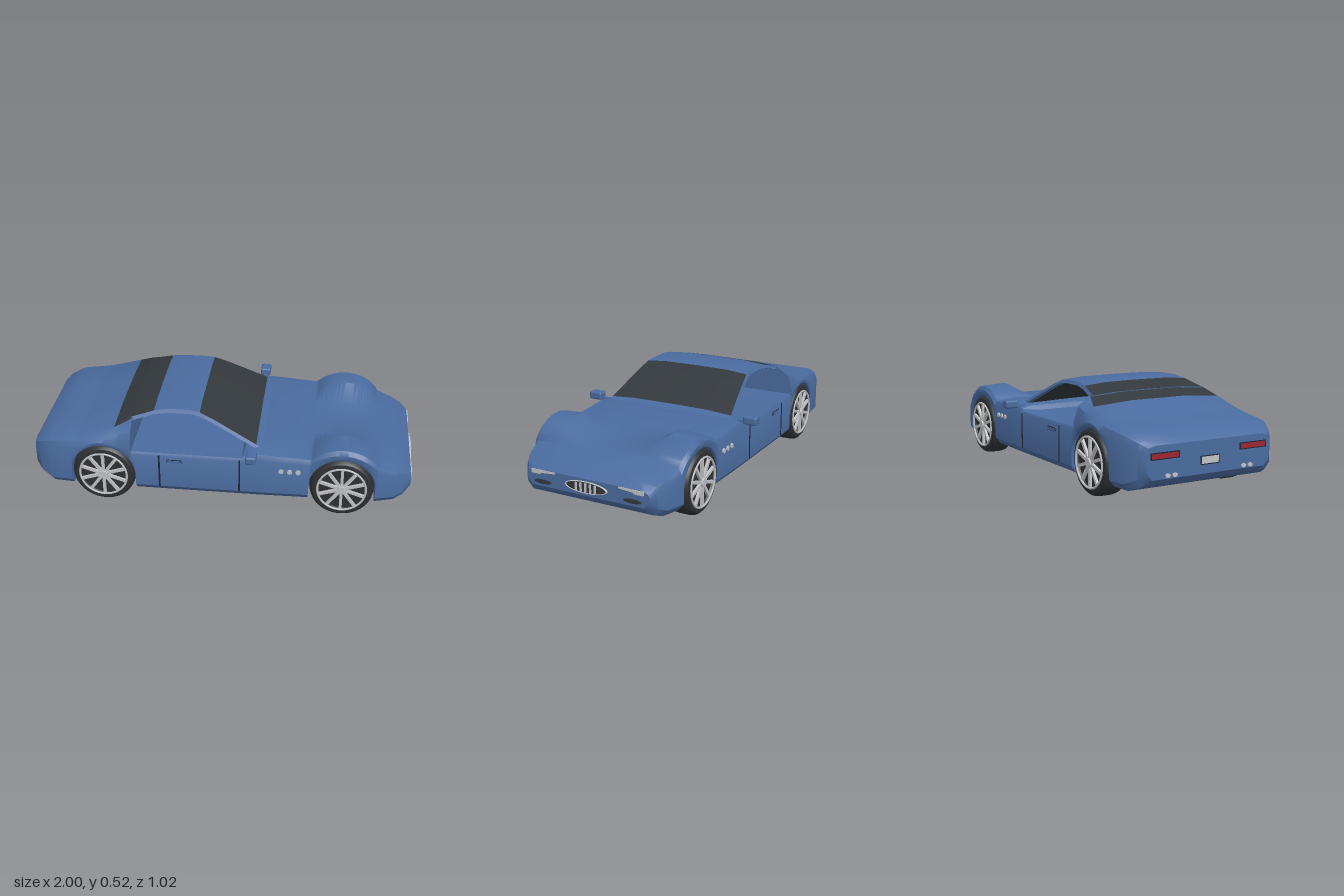
import * as THREE from 'three';
import { toCreasedNormals } from 'three/addons/utils/BufferGeometryUtils.js';
import { RoundedBoxGeometry } from 'three/addons/geometries/RoundedBoxGeometry.js';

const mat = (name, color) => {
  const m = new THREE.MeshStandardMaterial({ color });
  m.name = name;
  return m;
};
const paint = mat('bluePaint', 0x4a6b9f);
const glass = mat('darkGlass', 0x33383c);
const rubber = mat('rubber', 0x2d3033);
const silver = mat('silver', 0xbfc1c4);
const red = mat('tailRed', 0x9c2430);
const seam = mat('seam', 0x1c2530);

const AXLES = [-0.62, 0.63], AXLE_Y = 0.167, ARCH_R = 0.172;

// Linear interpolation between rows keyed by their first number
function sample(rows, x) {
  let i = 0;
  while (i < rows.length - 2 && x > rows[i + 1][0]) i++;
  const a = rows[i], b = rows[i + 1];
  const k = THREE.MathUtils.clamp((x - a[0]) / (b[0] - a[0]), 0, 1);
  return a.map((v, n) => v + (b[n] - v) * k);
}

// Skins mirrored half sections (bottom centre to top centre, [z, y]) along x, with end caps
function loft(xs, halfSection, isGlass, crease = 0.6) {
  const rings = xs.map((x) => {
    const half = halfSection(x);
    const mirrored = half.slice(1, -1).reverse().map(([z, y]) => [-z, y]);
    return [...half, ...mirrored].map(([z, y]) => [x, y, z]);
  });
  const L = rings[0].length, out = [[], []];
  for (let i = 0; i < xs.length - 1; i++) {
    for (let j = 0; j < L; j++) {
      const k = (j + 1) % L;
      const a = rings[i][j], b = rings[i + 1][j], c = rings[i + 1][k], d = rings[i][k];
      const part = isGlass((xs[i] + xs[i + 1]) / 2, Math.min(j, L - 1 - j)) ? 1 : 0;
      out[part].push(...a, ...b, ...c, ...a, ...c, ...d);
    }
  }
  [rings[0], rings[xs.length - 1]].forEach((ring, end) => {
    const centre = [ring[0][0], (ring[0][1] + ring[L / 2][1]) / 2, 0];
    for (let j = 0; j < L; j++) {
      const p = ring[j], q = ring[(j + 1) % L];
      out[0].push(...centre, ...(end ? q : p), ...(end ? p : q));
    }
  });
  const geo = new THREE.BufferGeometry();
  geo.setAttribute('position', new THREE.Float32BufferAttribute([...out[0], ...out[1]], 3));
  geo.addGroup(0, out[0].length / 3, 0);
  geo.addGroup(out[0].length / 3, out[1].length / 3, 1);
  return toCreasedNormals(geo, crease);
}

// x, half width, bottom, shoulder y, haunch z, haunch y, deck edge z, deck edge y, centre y
const BODY = [
  [-1, 0.355, 0.14, 0.24, 0.345, 0.29, 0.31, 0.3, 0.3],
  [-0.97, 0.385, 0.11, 0.27, 0.375, 0.31, 0.34, 0.325, 0.325],
  [-0.9, 0.42, 0.08, 0.3, 0.405, 0.335, 0.37, 0.355, 0.355],
  [-0.75, 0.432, 0.08, 0.32, 0.415, 0.355, 0.37, 0.375, 0.38],
  [-0.56, 0.435, 0.08, 0.34, 0.415, 0.395, 0.375, 0.425, 0.44],
  [-0.47, 0.435, 0.08, 0.345, 0.41, 0.42, 0.34, 0.465, 0.478],
  [-0.469, 0.435, 0.08, 0.3, 0.425, 0.315, 0.33, 0.315, 0.315],
  [0.11, 0.435, 0.08, 0.3, 0.425, 0.315, 0.33, 0.315, 0.315],
  [0.125, 0.435, 0.08, 0.3, 0.42, 0.325, 0.37, 0.34, 0.34],
  [0.2, 0.435, 0.08, 0.31, 0.42, 0.34, 0.37, 0.355, 0.36],
  [0.45, 0.43, 0.08, 0.3, 0.415, 0.325, 0.28, 0.335, 0.335],
  [0.75, 0.43, 0.08, 0.28, 0.415, 0.31, 0.28, 0.32, 0.32],
  [0.8, 0.425, 0.08, 0.27, 0.405, 0.3, 0.28, 0.313, 0.315],
  [0.9, 0.395, 0.08, 0.24, 0.385, 0.265, 0.28, 0.28, 0.285],
  [0.95, 0.37, 0.1, 0.22, 0.36, 0.245, 0.28, 0.255, 0.255],
  [0.985, 0.345, 0.14, 0.2, 0.335, 0.215, 0.3, 0.225, 0.225],
];

function bodySection(x) {
  let [, w, b, s, mz, my, qz, qy, t] = sample(BODY, x);
  // Front fender domes
  const d = 0.053 - (x - AXLES[1]) ** 2;
  const dome = d > 0 ? 0.17 + Math.sqrt(d) : 0;
  if (dome > qy) {
    qy = dome;
    my = Math.max(my, dome - 0.008);
    s = Math.max(s, dome - 0.03);
  }
  // Wheel arches
  let a = b, tuck = 0.03;
  for (const cx of AXLES) {
    const h = ARCH_R ** 2 - (x - cx) ** 2;
    if (h >= 0) { a = AXLE_Y + Math.sqrt(h); tuck = 0.004; }
  }
  s = Math.max(s, a + 0.02);
  return [[0, b], [0.29, b], [0.29, a], [w - tuck, a], [w, a + (a > b ? 0.01 : 0.035)],
    [w, s], [mz, my], [qz, qy], [0.16, t], [0, t]];
}

// Roof shell: x, half width, top
const ROOF = [
  [-0.48, 0.34, 0.478], [-0.36, 0.318, 0.512], [-0.29, 0.312, 0.523], [-0.17, 0.312, 0.523],
  [-0.12, 0.318, 0.516], [-0.05, 0.33, 0.488], [0.18, 0.372, 0.376], [0.23, 0.375, 0.352],
];
function roofSection(x) {
  const [, w, t] = sample(ROOF, x);
  return [[0, t - 0.02], [w - 0.025, t - 0.033], [w, t - 0.03], [w - 0.01, t - 0.012],
    [w * 0.6, t - 0.002], [0, t]];
}

export function createModel() {
  const car = new THREE.Group();
  car.name = 'car';
  const add = (name, geo, material, pos = [0, 0, 0], parent = car) => {
    const m = new THREE.Mesh(geo, material);
    m.name = name;
    m.position.set(...pos);
    parent.add(m);
    return m;
  };
  const box = (name, size, material, pos, parent) =>
    add(name, new THREE.BoxGeometry(...size), material, pos, parent);

  // Body shell, with extra sections around the wheels
  const xs = BODY.map((r) => r[0]);
  for (const cx of AXLES) {
    xs.push(cx - ARCH_R - 0.0005, cx + ARCH_R + 0.0005);
    for (let i = 0; i <= 24; i++) xs.push(cx - ARCH_R * 0.99999 * Math.cos((i / 24) * Math.PI));
  }
  for (const dx of [-0.2, -0.185, 0.185]) xs.push(AXLES[1] + dx);
  xs.sort((a, b) => a - b);
  add('body', loft(xs, bodySection, (x, j) => x > -0.56 && x < -0.47 && j >= 7), [paint, glass]);
  add('roof', loft(ROOF.map((r) => r[0]), roofSection,
    (x, j) => (x < -0.36 || (x > -0.12 && x < 0.18)) && j !== 1 && j !== 2), [paint, glass]);

  // Wheels
  const tyreGeo = new THREE.LatheGeometry([[0, -0.065], [0.13, -0.065], [0.15, -0.062], [0.162, -0.05],
    [0.167, -0.03], [0.167, 0.03], [0.162, 0.05], [0.15, 0.062], [0.13, 0.065], [0.122, 0.05], [0, 0.05],
  ].map(([r, y]) => new THREE.Vector2(r, y)), 40).rotateX(Math.PI / 2);
  const tyreShape = toCreasedNormals(tyreGeo, 0.6);
  const rimGeo = new THREE.TorusGeometry(0.125, 0.006, 6, 40);
  const hubGeo = new THREE.CylinderGeometry(0.022, 0.026, 0.022, 20).rotateX(Math.PI / 2);
  for (const cx of AXLES) {
    for (const side of [1, -1]) {
      const wheel = new THREE.Group();
      wheel.name = (cx > 0 ? 'front' : 'rear') + 'Wheel';
      wheel.position.set(cx, AXLE_Y, side * 0.37);
      if (side < 0) wheel.rotation.y = Math.PI;
      add('tyre', tyreShape, rubber, [0, 0, 0], wheel);
      add('rim', rimGeo, silver, [0, 0, 0.066], wheel);
      add('hub', hubGeo, silver, [0, 0, 0.064], wheel);
      for (let k = 0; k < 10; k++) {
        const a = (k / 10) * Math.PI * 2 + Math.PI / 2;
        const spoke = box('spoke', [0.108, 0.015, 0.014], silver,
          [Math.cos(a) * 0.07, Math.sin(a) * 0.07, 0.06], wheel);
        spoke.rotation.z = a;
      }
      car.add(wheel);
    }
  }

  // Flat disc facing along x
  const disc = (rz, ry, depth) =>
    new THREE.CylinderGeometry(1, 1, depth, 32).rotateZ(Math.PI / 2).scale(1, ry, rz);

  // Grille
  add('grille', disc(0.112, 0.026, 0.008), glass, [0.988, 0.185, 0]);
  const ring = new THREE.TorusGeometry(1, 0.05, 6, 40).rotateY(Math.PI / 2).scale(0.12, 0.028, 0.115);
  add('grilleRing', ring, silver, [0.99, 0.185, 0]);
  for (let k = -2; k <= 2; k++) {
    box('grilleBar', [0.012, 0.046 - Math.abs(k) * 0.003, 0.009], silver, [0.993, 0.185, k * 0.027]);
  }

  // Headlight outline, wider at the outer end
  const lampShape = new THREE.Shape([[0.18, 0.217], [0.26, 0.21], [0.265, 0.203], [0.315, 0.203],
    [0.315, 0.224], [0.18, 0.224]].map(([z, y]) => new THREE.Vector2(z, y)));
  const lampGeo = new THREE.ExtrudeGeometry(lampShape, { depth: 0.008, bevelEnabled: false });

  for (const s of [1, -1]) {
    // Nose and tail details
    const lamp = new THREE.Group();
    lamp.name = 'headlight';
    add('lamp', lampGeo, silver, [0, 0, -0.004], lamp);
    lamp.rotation.y = s * -Math.PI / 2;
    if (s < 0) lamp.position.x = 0;
    lamp.position.set(0.986, 0, 0);
    lamp.scale.z = 1;
    car.add(lamp);
    if (s < 0) {
      // The mirrored lamp keeps its outer end outboard
      lamp.rotation.y = Math.PI / 2;
    }
    add('fogLamp', disc(0.05, 0.011, 0.006), glass, [0.985, 0.165, s * 0.253]);
    box('tailLightFrame', [0.006, 0.034, 0.16], seam, [-0.999, 0.25, s * 0.255]);
    box('tailLight', [0.008, 0.024, 0.148], red, [-1, 0.25, s * 0.255]);
    for (const z of [0.2, 0.24]) add('exhaust', disc(0.014, 0.01, 0.02), silver, [-0.995, 0.155, s * z]);

    // Side details
    for (const x of [-0.32, 0.1]) box('doorSeam', [0.009, 0.19, 0.004], seam, [x, 0.21, s * 0.435]);
    box('doorHandleShadow', [0.08, 0.02, 0.004], seam, [-0.24, 0.274, s * 0.435]);
    box('doorHandle', [0.072, 0.014, 0.008], paint, [-0.24, 0.273, s * 0.436]);
    for (const x of [0.315, 0.36, 0.403]) {
      add('sideVent', new THREE.CylinderGeometry(0.013, 0.013, 0.012, 16).rotateX(Math.PI / 2),
        silver, [x, 0.255, s * 0.433]);
    }
    // Mirrors
    add('mirror', new RoundedBoxGeometry(0.055, 0.043, 0.076, 3, 0.01), paint, [0.163, 0.352, s * 0.472]);
    box('mirrorStalk', [0.02, 0.014, 0.06], paint, [0.163, 0.338, s * 0.42]);
  }
  box('plateFrame', [0.005, 0.044, 0.11], seam, [-0.999, 0.205, 0]);
  box('plate', [0.008, 0.034, 0.098], silver, [-0.999, 0.205, 0]);
  return car;
}
